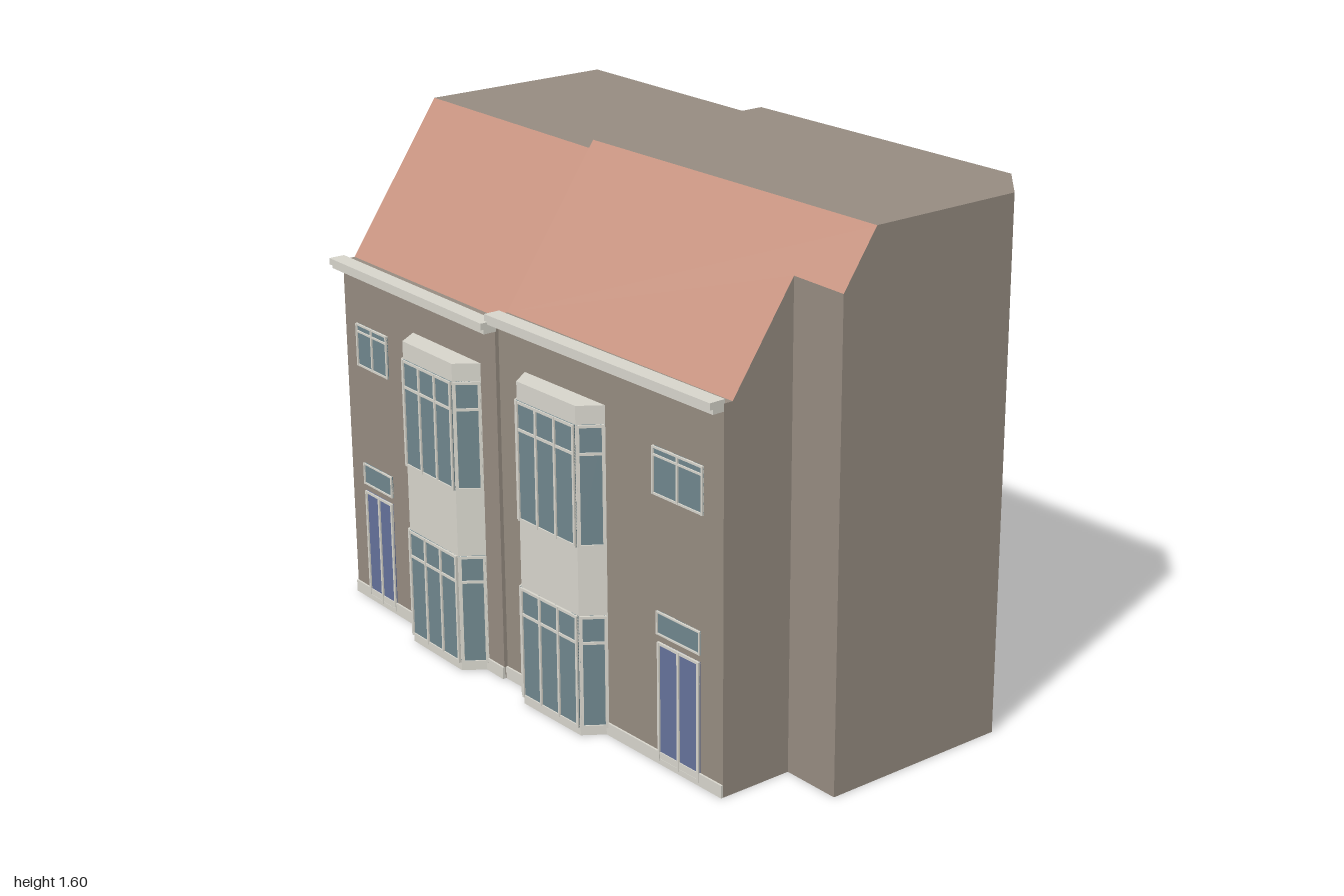
import * as THREE from 'three';

const mat = (name, color) => {
  const m = new THREE.MeshStandardMaterial({ color });
  m.name = name;
  return m;
};

export function createModel() {
  const wall = mat('wall render', 0x958b80);
  const tile = mat('roof tile', 0xc89481);
  const trim = mat('pale trim', 0xd6d4cb);
  const glass = mat('window glass', 0x6f868d);
  const paint = mat('door paint', 0x64719a);
  const model = new THREE.Group();
  model.name = 'terracedHouses';

  // Roof break lines bend slightly at the party wall (x = PARTY)
  const PARTY = -0.17, RIDGE_F = 0.26, RIDGE_B = -0.375, EAVE = 0.575;
  const depth = ([x, z]) => z + 0.014 * Math.abs(x - PARTY);
  const roofY = (p, top) => {
    const u = Math.min(depth(p), EAVE);
    if (u > RIDGE_F) return top - (u - RIDGE_F) * 1.444;
    return u < RIDGE_B ? top - (RIDGE_B - u) * 1.5 : top;
  };
  const lerp = (a, b, t) => [a[0] + (b[0] - a[0]) * t, a[1] + (b[1] - a[1]) * t];

  // Keep the part of a plan polygon where sign * (depth - c) >= 0
  function clip(poly, c, sign) {
    const out = [];
    poly.forEach((a, i) => {
      const b = poly[(i + 1) % poly.length];
      const da = sign * (depth(a) - c), db = sign * (depth(b) - c);
      if (da >= 0) out.push(a);
      if (da * db < 0) out.push(lerp(a, b, da / (da - db)));
    });
    return out;
  }

  function surface(pos, material, name, parent) {
    const g = new THREE.BufferGeometry();
    g.setAttribute('position', new THREE.Float32BufferAttribute(pos, 3));
    g.computeVertexNormals();
    const m = new THREE.Mesh(g, material);
    m.name = name;
    parent.add(m);
  }

  // Triangulate a plan polygon, lifted by a height rule
  function cap(poly, height, up, pos) {
    if (poly.length < 3) return;
    const pts = poly.map(p => new THREE.Vector2(p[0], p[1]));
    for (const f of THREE.ShapeUtils.triangulateShape(pts, [])) {
      let t = f.map(i => poly[i]);
      const [a, b, c] = t;
      const area = (b[0] - a[0]) * (c[1] - a[1]) - (b[1] - a[1]) * (c[0] - a[0]);
      if ((area < 0) !== up) t = [a, c, b];
      for (const p of t) pos.push(p[0], height(p), p[1]);
    }
  }

  // Walls and roof of one house above its plan
  function shell(plan, top, parent) {
    const walls = [], slopes = [];
    const h = p => roofY(p, top);
    plan.forEach((a, i) => {
      const b = plan[(i + 1) % plan.length];
      const da = depth(a), db = depth(b);
      const cuts = [EAVE, RIDGE_F, RIDGE_B].map(c => (c - da) / (db - da)).filter(t => t > 0 && t < 1);
      const ts = [0, ...cuts.sort((m, n) => m - n), 1];
      for (let k = 0; k + 1 < ts.length; k++) {
        const p = lerp(a, b, ts[k]), q = lerp(a, b, ts[k + 1]);
        walls.push(p[0], 0, p[1], q[0], 0, q[1], q[0], h(q), q[1]);
        walls.push(p[0], 0, p[1], q[0], h(q), q[1], p[0], h(p), p[1]);
      }
    });
    cap(plan, () => 0, false, walls);
    cap(clip(plan, EAVE, 1), h, true, walls);
    cap(clip(clip(plan, RIDGE_F, -1), RIDGE_B, 1), h, true, walls);
    cap(clip(clip(plan, EAVE, -1), RIDGE_F, 1), h, true, slopes);
    cap(clip(plan, RIDGE_B, -1), h, true, slopes);
    surface(walls, wall, 'wallsAndFlatTop', parent);
    surface(slopes, tile, 'roofSlopes', parent);
  }

  // Box given by its x, y and z ranges
  function box(parent, name, material, x0, x1, y0, y1, z0, z1) {
    const m = new THREE.Mesh(new THREE.BoxGeometry(x1 - x0, y1 - y0, z1 - z0), material);
    m.position.set((x0 + x1) / 2, (y0 + y1) / 2, (z0 + z1) / 2);
    m.name = name;
    parent.add(m);
  }

  // Pane with a frame, upright bars and an optional transom, on local z = 0
  function pane(parent, name, fill, x0, x1, y0, y1, cols, transom, w = 0.008) {
    const g = new THREE.Group();
    g.name = name;
    parent.add(g);
    box(g, 'panel', fill, x0, x1, y0, y1, 0, 0.003);
    for (let i = 0; i <= cols; i++) {
      const x = x0 + w / 2 + (x1 - x0 - w) * i / cols;
      box(g, 'upright', trim, x - w / 2, x + w / 2, y0, y1, 0, 0.008);
    }
    const rails = [y0 + w / 2, y1 - w / 2];
    if (transom) rails.push(transom);
    for (const y of rails) box(g, 'rail', trim, x0, x1, y - w / 2, y + w / 2, 0, 0.007);
  }

  // Two-storey canted bay
  function bay(parent, x0, x1, out, top) {
    const g = new THREE.Group();
    g.name = 'bayWindow';
    parent.add(g);
    const cant = 0.048;
    const pts = [[x0, 0], [x0 + cant, out], [x1 - cant, out], [x1, 0]];
    const shape = new THREE.Shape(pts.map(([x, z]) => new THREE.Vector2(x, -z)));
    const body = new THREE.Mesh(new THREE.ExtrudeGeometry(shape, { depth: top, bevelEnabled: false }), trim);
    body.rotation.x = -Math.PI / 2;
    body.name = 'bayBody';
    g.add(body);
    for (let i = 0; i < 3; i++) {
      const [ax, az] = pts[i], [bx, bz] = pts[i + 1];
      const face = new THREE.Group();
      face.name = 'bayFace';
      face.position.set((ax + bx) / 2, 0, (az + bz) / 2);
      face.rotation.y = -Math.atan2(bz - az, bx - ax);
      g.add(face);
      const w = Math.hypot(bx - ax, bz - az) / 2 - 0.002;
      const cols = i === 1 ? 3 : 1;
      pane(face, 'lowerWindow', glass, -w, w, 0.025, 0.373, cols, 0.29);
      pane(face, 'upperWindow', glass, -w, w, 0.582, top - 0.055, cols, top - 0.14);
    }
  }

  // Facade: local x is measured from the party wall, z from the wall face
  function facade(parent, z, slope, o) {
    const g = new THREE.Group();
    g.name = 'facade';
    g.position.set(PARTY, 0, z);
    g.rotation.y = -Math.atan(slope);
    parent.add(g);
    const [a, b] = o.span;
    box(g, 'plinth', trim, a, b, 0, 0.038, -0.004, 0.006);
    box(g, 'corniceSlab', trim, a, b, o.eave - 0.008, o.eave + 0.012, -0.004, 0.048);
    box(g, 'corniceBed', trim, a, b, o.eave - 0.022, o.eave - 0.008, -0.004, 0.038);
    bay(g, o.bay[0], o.bay[1], o.out, o.bayTop);
    const [d0, d1] = o.door, [w0, w1, y0, y1] = o.window;
    pane(g, 'frontDoor', paint, d0, d1, 0.01, 0.373, 2, 0);
    pane(g, 'fanlight', glass, d0 - 0.004, d1 + 0.004, 0.395, 0.465, 1, 0, 0.005);
    pane(g, 'smallWindow', glass, w0, w1, y0, y1, 2, y1 - 0.025, 0.006);
  }

  const left = new THREE.Group(), right = new THREE.Group();
  left.name = 'lowerHouse';
  right.name = 'tallerHouse';
  model.add(left, right);

  shell([[-1, 0.605], [PARTY, 0.62], [PARTY, -0.687], [-1, -0.7]], 1.567, left);
  facade(left, 0.62, 0.018, {
    span: [-0.83, 0], eave: 1.113, bay: [-0.44, -0.08], out: 0.068, bayTop: 0.975,
    door: [-0.75, -0.595], window: [-0.762, -0.588, 0.787, 0.925],
  });

  shell([[PARTY, 0.608], [0.81, 0.59], [0.81, 0.355], [1, 0.355], [1, -0.255], [0.73, -0.51],
    [0.135, -0.535], [0.135, -0.682], [PARTY, -0.687]], 1.595, right);
  facade(right, 0.608, -0.018, {
    span: [0, 0.98], eave: 1.14, bay: [0.122, 0.486], out: 0.066, bayTop: 1.0,
    door: [0.711, 0.886], window: [0.692, 0.902, 0.805, 0.945],
  });
  return model;
}
